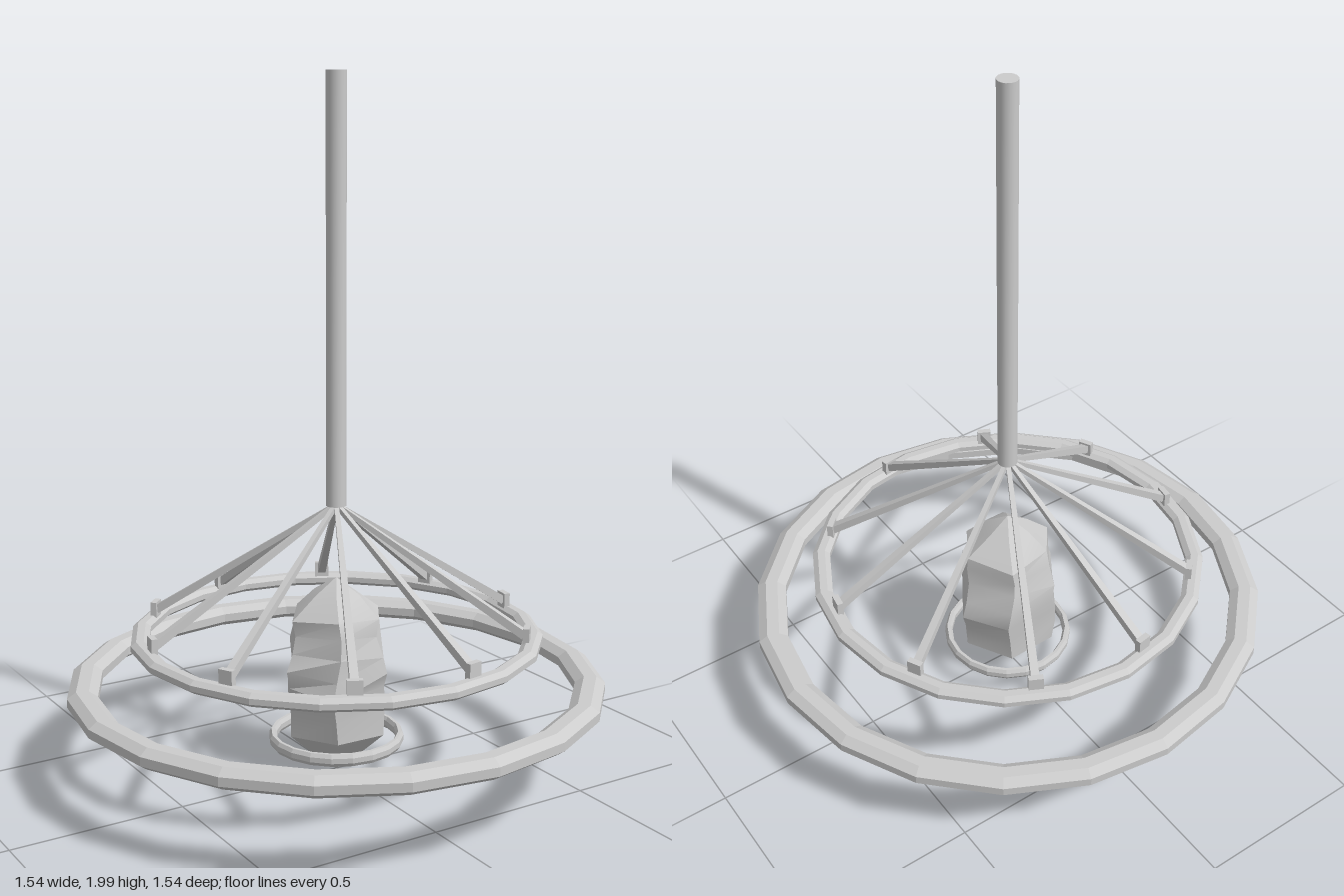
import * as THREE from 'three';
import { toCreasedNormals } from 'three/addons/utils/BufferGeometryUtils.js';

const flat = new THREE.MeshStandardMaterial({ color: 0xcccccc, flatShading: true });
const smooth = new THREE.MeshStandardMaterial({ color: 0xcccccc });

function add(parent, name, geometry, material = flat) {
  const mesh = new THREE.Mesh(geometry, material);
  mesh.name = name;
  parent.add(mesh);
  return mesh;
}

// Twenty-sided hoop with a flattened octagonal section
function hoop(inner, outer, bottom, top) {
  const r = (inner + outer) / 2, w = (outer - inner) / 2;
  const y = (bottom + top) / 2, h = (top - bottom) / 2;
  const section = [];
  for (let i = 0; i <= 8; i++) {
    const a = (i + 0.5) * Math.PI / 4, k = Math.cos(Math.PI / 8);
    section.push(new THREE.Vector2(r + Math.cos(a) * w / k, y + Math.sin(a) * h / k));
  }
  return new THREE.LatheGeometry(section, 20);
}

// Rough six-sided crystal: stacked, slightly irregular rings closed by two points
function crystalGeometry() {
  const rows = [ // height, radius, irregularity
    [0.01, 0, 0], [0.075, 0.082, 0], [0.14, 0.15, 0.002], [0.21, 0.153, 0.005],
    [0.28, 0.163, 0.01], [0.33, 0.163, 0.012], [0.385, 0.153, 0.01],
    [0.44, 0.138, 0.008], [0.485, 0.134, 0.008], [0.545, 0.068, 0.004], [0.59, 0, 0],
  ];
  const sides = 6, positions = [], index = [];
  rows.forEach(([y, radius, rough], j) => {
    for (let i = 0; i < sides; i++) {
      const a = i / sides * Math.PI * 2 + rough * 8 * Math.sin(i * 2.1 + j);
      const r = radius + rough * Math.sin(i * 3.7 + j * 1.9);
      positions.push(Math.cos(a) * r, y + rough * Math.cos(i * 2.7 + j), Math.sin(a) * r);
      if (j === 0) continue;
      const n = (i + 1) % sides, low = (j - 1) * sides, high = j * sides;
      if (j > 1) index.push(low + i, high + i, low + n);
      if (j < rows.length - 1) index.push(low + n, high + i, high + n);
    }
  });
  const geometry = new THREE.BufferGeometry();
  geometry.setAttribute('position', new THREE.Float32BufferAttribute(positions, 3));
  geometry.setIndex(index);
  return toCreasedNormals(geometry, 0.45);
}

export function createModel() {
  const model = new THREE.Group();
  model.name = 'hangingLamp';

  // Hanging rod
  const rod = new THREE.CylinderGeometry(0.029, 0.029, 1.2, 16).translate(0, 1.4, 0);
  add(model, 'hangingRod', toCreasedNormals(rod, 0.6), smooth);

  // Three hoops
  add(model, 'outerHoop', hoop(0.684, 0.77, 0.25, 0.31));
  add(model, 'supportHoop', hoop(0.538, 0.59, 0.404, 0.442));
  add(model, 'crystalHoop', hoop(0.174, 0.196, 0.094, 0.13));

  // Central crystal
  add(model, 'crystal', crystalGeometry(), smooth);

  // Ten slanting spokes, each ending in a small clip on the support hoop
  const start = new THREE.Vector3(0.006, 0.8, 0);
  const end = new THREE.Vector3(0.54, 0.458, 0);
  const span = end.clone().sub(start);
  for (let i = 0; i < 10; i++) {
    const arm = new THREE.Group();
    arm.name = 'spokeWithClip';
    arm.rotation.y = -(9 + i * 36) * Math.PI / 180;
    const bar = new THREE.CylinderGeometry(0.009, 0.017, span.length(), 4).rotateY(Math.PI / 4);
    const spoke = add(arm, 'spoke', bar);
    spoke.position.copy(start).add(end).multiplyScalar(0.5);
    spoke.rotation.z = Math.atan2(-span.y, span.x) * -1 + Math.PI / 2;
    add(arm, 'clip', new THREE.BoxGeometry(0.018, 0.046, 0.042)).position.set(0.546, 0.458, 0);
    model.add(arm);
  }
  return model;
}
